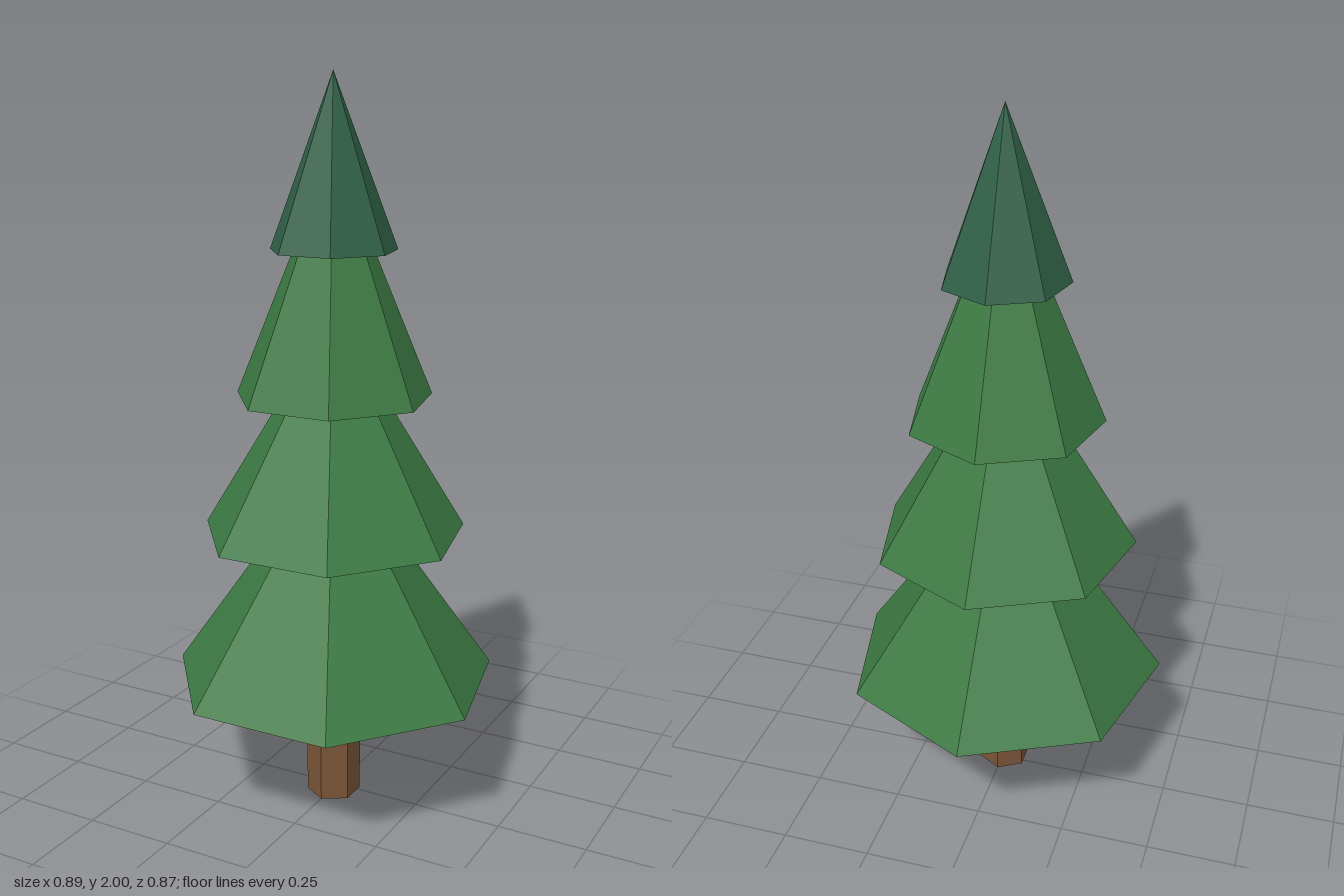
import * as THREE from 'three';

const flat = (name, color) => {
  const material = new THREE.MeshStandardMaterial({ color, flatShading: true });
  material.name = name;
  return material;
};

export function createModel() {
  const tree = new THREE.Group();
  tree.name = 'pineTree';
  const bark = flat('barkBrown', 0x7a5539);
  const green = flat('needleGreen', 0x3c7a43);
  const darkGreen = flat('treetopGreen', 0x2f6046);
  const axisZ = 0.0225; // the trunk axis sits slightly forward of centre

  // Six-sided trunk
  const trunk = new THREE.Mesh(new THREE.CylinderGeometry(0.075, 0.075, 0.42, 6), bark);
  trunk.name = 'trunk';
  trunk.position.set(0, 0.21, axisZ);
  tree.add(trunk);

  // Seven-sided foliage tiers with one corner pointing backwards
  const tiers = [
    { name: 'bottomTier', radius: 0.456, base: 0.36, tip: 1.01, material: green },
    { name: 'lowerMiddleTier', radius: 0.368, base: 0.78, tip: 1.385, material: green },
    { name: 'upperMiddleTier', radius: 0.271, base: 1.157, tip: 1.81, material: green },
    { name: 'treetop', radius: 0.173, base: 1.547, tip: 2, material: darkGreen },
  ];
  for (const { name, radius, base, tip, material } of tiers) {
    const height = tip - base;
    const tier = new THREE.Mesh(new THREE.ConeGeometry(radius, height, 7, 1, false, Math.PI), material);
    tier.name = name;
    tier.position.set(0, base + height / 2, axisZ);
    tree.add(tier);
  }
  return tree;
}
